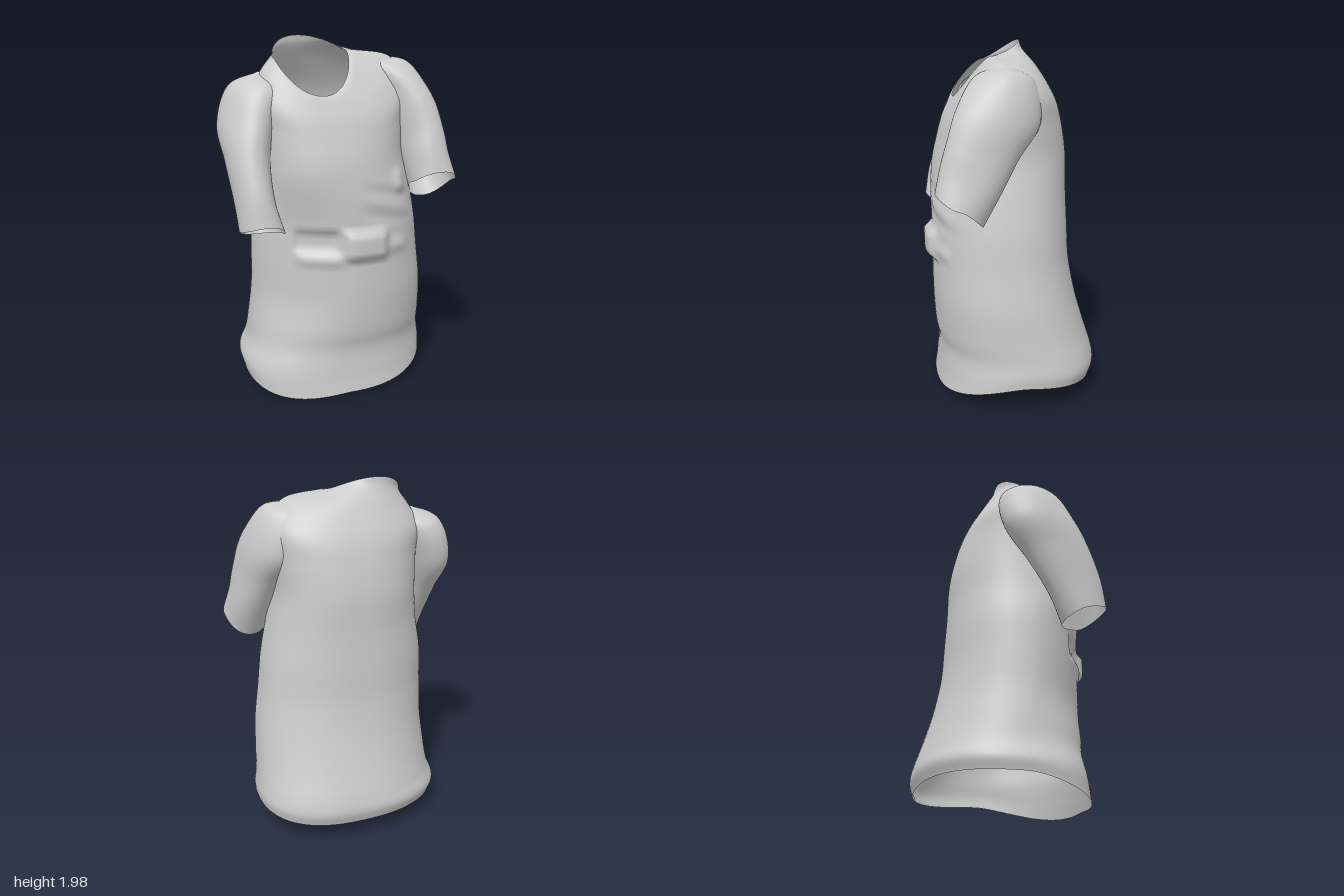
import * as THREE from 'three';

const cloth = new THREE.MeshStandardMaterial({ color: 0xcccccc, side: THREE.DoubleSide });
const { smoothstep } = THREE.MathUtils;

// Each ring: right x,y | left x,y | back z,y | front z,y | squareness, shear
function loft(name, rings, { steps, sides, rule }) {
  const tracks = [0, 2, 4, 6, 8].map(k => new THREE.CatmullRomCurve3(
    rings.map(r => new THREE.Vector3(r[k], r[k + 1], k < 8 ? 0 : r[1])), false, 'catmullrom', 0.5));
  const pos = [], index = [];
  for (let i = 0; i <= steps; i++) {
    const [R, L, B, F, S] = tracks.map(t => t.getPoint(i / steps));
    const cx = (R.x + L.x) / 2, hx = (L.x - R.x) / 2;
    const cz = (F.x + B.x) / 2, hz = (F.x - B.x) / 2;
    const round = v => Math.sign(v) * Math.abs(v) ** S.x;
    for (let j = 0; j < sides; j++) {
      const a = j / sides * Math.PI * 2, c = Math.cos(a), s = Math.sin(a);
      const w = Math.abs(s) ** 1.3, side = (R.y + L.y + (L.y - R.y) * c) / 2;
      const p = new THREE.Vector3(
        cx + hx * round(c) - S.y * hz * s,
        side * (1 - w) + (s > 0 ? F.y : B.y) * w,
        cz + hz * round(s));
      if (rule) rule(p, s, c);
      pos.push(p.x, p.y, p.z);
      if (i < steps) {
        const k = (j + 1) % sides, u = i * sides, v = u + sides;
        index.push(u + j, v + j, u + k, u + k, v + j, v + k);
      }
    }
  }
  const g = new THREE.BufferGeometry();
  g.setAttribute('position', new THREE.Float32BufferAttribute(pos, 3));
  g.setIndex(index);
  g.computeVertexNormals();
  const mesh = new THREE.Mesh(g, cloth);
  mesh.name = name;
  return mesh;
}

// Marks vertices above the armpit that lie inside another mesh (odd number of walls along a ray)
function insideFlags(mesh, other, direction) {
  const ray = new THREE.Raycaster(), p = new THREE.Vector3();
  const points = mesh.geometry.attributes.position;
  other.geometry.computeBoundingBox();
  const box = other.geometry.boundingBox;
  return Array.from({ length: points.count }, (_, i) => {
    p.fromBufferAttribute(points, i);
    if (p.y < 1.4 || !box.containsPoint(p)) return false;
    ray.set(p, direction);
    return ray.intersectObject(other).length % 2 === 1;
  });
}

// Drops the hidden triangles
function removeFlagged(mesh, flags) {
  const old = mesh.geometry.index.array, kept = [];
  for (let i = 0; i < old.length; i += 3) {
    const tri = [old[i], old[i + 1], old[i + 2]];
    if (!tri.every(v => flags[v])) kept.push(...tri);
  }
  mesh.geometry.setIndex(kept);
}

// Soft-edged rectangular patch, 1 inside and 0 outside
const patch = (x, y, x0, x1, y0, y1, e) =>
  smoothstep(x, x0 - e, x0 + e) * (1 - smoothstep(x, x1 - e, x1 + e)) *
  smoothstep(y, y0 - e, y0 + e) * (1 - smoothstep(y, y1 - e, y1 + e));

// Rumpled band across the belly, small folds, flattened right front corner, dipping hem
function rumple(p, s, c) {
  if (s < 0) return;
  const { x, y } = p;
  p.z += 0.045 * patch(x, y, -0.06, 0.19, 0.82, 0.97, 0.025);
  p.z += 0.015 * patch(x, y, -0.33, -0.08, 0.79, 0.84, 0.02);
  p.z -= 0.03 * patch(x, y, -0.33, -0.08, 0.86, 0.97, 0.025);
  p.z += 0.015 * patch(x, y, 0.2, 0.33, 0.84, 0.9, 0.03);
  p.z += 0.02 * patch(x, y, 0.26, 0.32, 1.17, 1.28, 0.025);
  p.z += 0.006 * Math.sin(45 * y + 12 * x) * patch(x, y, 0.08, 0.36, 1.0, 1.22, 0.06);
  const corner = Math.max(0, -2 * c * s);
  const inset = 0.04 * corner * smoothstep(y, 0.15, 0.6) * (1 - smoothstep(y, 0.95, 1.3));
  p.x += inset;
  p.z -= inset;
  p.y -= 0.035 * corner * (1 - smoothstep(y, 0.03, 0.25));
}

export function createModel() {
  const group = new THREE.Group();
  group.name = 'shirt';

  // Torso from neckline down to the flared hem
  const torso = loft('torso', [
    [-.34, 1.88, .07, 1.92, -.095, 2.0, .29, 1.69, .95, -.05],
    [-.35, 1.87, .13, 1.92, -.11, 1.95, .31, 1.67, .95, 0],
    [-.4, 1.82, .33, 1.89, -.17, 1.86, .33, 1.63, .9, .1],
    [-.45, 1.71, .43, 1.78, -.25, 1.71, .36, 1.56, .85, .12],
    [-.43, 1.57, .42, 1.6, -.29, 1.58, .39, 1.46, .85, .12],
    [-.42, 1.4, .41, 1.4, -.32, 1.4, .42, 1.33, .85, .1],
    [-.43, 1.2, .45, 1.2, -.325, 1.2, .435, 1.17, .87, .06],
    [-.46, 1.0, .49, 1.0, -.335, 1.0, .435, 1.0, .88, .04],
    [-.465, 0.8, .515, 0.8, -.345, 0.8, .435, 0.8, .88, .04],
    [-.465, 0.6, .545, 0.6, -.38, 0.6, .435, 0.6, .88, .05],
    [-.48, 0.42, .56, 0.42, -.43, 0.42, .425, 0.4, .88, .08],
    [-.495, 0.28, .57, 0.31, -.475, 0.28, .405, 0.28, .87, .1],
    [-.53, 0.18, .58, 0.23, -.49, 0.2, .415, 0.14, .85, .1],
    [-.52, 0.11, .575, 0.17, -.47, 0.13, .43, 0.04, .85, .1],
  ], { steps: 120, sides: 120, rule: rumple });

  // Left sleeve, bent forward
  const sleeve = { steps: 44, sides: 44 };
  const leftSleeve = loft('leftSleeve', [
    [.29, 1.885, .31, 1.885, .02, 1.885, .04, 1.885, 1, 0],
    [.2, 1.84, .46, 1.85, -.1, 1.81, .21, 1.84, 1, 0],
    [.26, 1.64, .555, 1.66, -.12, 1.6, .32, 1.69, 1, -.1],
    [.33, 1.45, .592, 1.45, 0, 1.43, .38, 1.52, .95, -.1],
    [.36, 1.32, .615, 1.31, .1, 1.26, .415, 1.4, .92, 0],
    [.38, 1.2, .64, 1.2, .2, 1.09, .445, 1.27, .92, 0],
  ], sleeve);

  // Right sleeve, hanging lower
  const rightSleeve = loft('rightSleeve', [
    [-.41, 1.81, -.39, 1.81, .02, 1.81, .04, 1.81, 1, 0],
    [-.57, 1.74, -.3, 1.75, -.14, 1.72, .21, 1.74, 1, -.1],
    [-.642, 1.54, -.36, 1.52, -.14, 1.5, .29, 1.56, 1, -.1],
    [-.632, 1.35, -.4, 1.34, 0, 1.3, .35, 1.38, .95, 0],
    [-.612, 1.16, -.4, 1.13, .12, 1.11, .41, 1.2, .92, 0],
    [-.6, 1.0, -.36, .97, .2, .95, .44, 1.04, .92, 0],
  ], sleeve);

  // Open the armholes so the sleeves join the torso as one shell
  const back = new THREE.Vector3(0, 0, -1), out = new THREE.Vector3(1, 0, 0);
  const inLeft = insideFlags(torso, leftSleeve, out);
  const inRight = insideFlags(torso, rightSleeve, out.clone().negate());
  const leftHidden = insideFlags(leftSleeve, torso, back);
  const rightHidden = insideFlags(rightSleeve, torso, back);
  removeFlagged(torso, inLeft.map((f, i) => f || inRight[i]));
  removeFlagged(leftSleeve, leftHidden);
  removeFlagged(rightSleeve, rightHidden);

  group.add(torso, leftSleeve, rightSleeve);
  return group;
}
